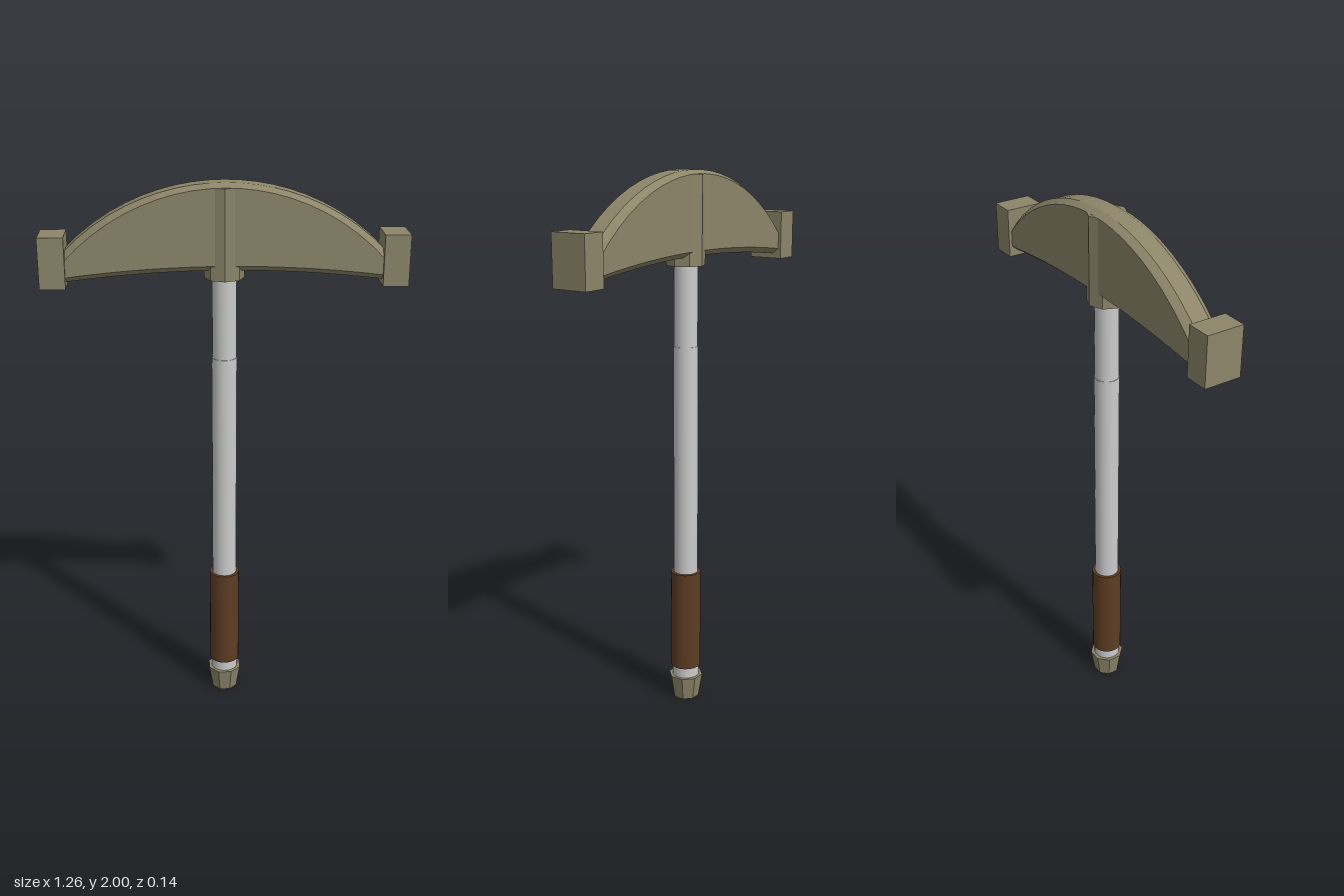
import * as THREE from 'three';

const bronze = new THREE.MeshStandardMaterial({ color: 0x8c8569, flatShading: true });
const steel = new THREE.MeshStandardMaterial({ color: 0xcccccc });
const leather = new THREE.MeshStandardMaterial({ color: 0x5c3c22 });

// Arched head: chamfered eight-sided sections swept along x
function headGeometry(halfLength, steps) {
  const pos = [], idx = [];
  const R = 0.772;
  for (let i = 0; i <= steps; i++) {
    const x = -halfLength + (2 * halfLength * i) / steps;
    const t = (x / halfLength) ** 2;
    const top = 2 - R + Math.sqrt(R * R - x * x);
    const bottom = 1.702 - 0.037 * t;
    const shoulder = top - 0.014 - 0.016 * t;
    const belly = bottom + 0.02;
    const section = [
      [top, -0.031], [top, 0.031], [shoulder, 0.056], [belly, 0.056],
      [bottom, 0.031], [bottom, -0.031], [belly, -0.056], [shoulder, -0.056],
    ];
    for (const [y, z] of section) pos.push(x, y, z);
  }
  for (let i = 0; i < steps; i++) {
    for (let k = 0; k < 8; k++) {
      const a = i * 8 + k, b = i * 8 + ((k + 1) % 8);
      idx.push(a, b, a + 8, b, b + 8, a + 8);
    }
  }
  // End caps
  const last = steps * 8;
  for (let k = 1; k < 7; k++) {
    idx.push(0, k + 1, k);
    idx.push(last, last + k, last + k + 1);
  }
  const geo = new THREE.BufferGeometry();
  geo.setAttribute('position', new THREE.Float32BufferAttribute(pos, 3));
  geo.setIndex(idx);
  geo.computeVertexNormals();
  return geo;
}

export function createModel() {
  const group = new THREE.Group();
  const add = (name, geo, mat, x = 0, y = 0) => {
    const mesh = new THREE.Mesh(geo, mat);
    mesh.name = name;
    mesh.position.set(x, y, 0);
    group.add(mesh);
    return mesh;
  };
  // Upright round part between two heights
  const rod = (name, y0, y1, rBottom, rTop, sides, mat) =>
    add(name, new THREE.CylinderGeometry(rTop, rBottom, y1 - y0, sides), mat, 0, (y0 + y1) / 2);

  // Handle, from the foot upwards
  rod('pommel', 0, 0.09, 0.05, 0.065, 8, bronze).rotation.y = Math.PI / 8;
  rod('gripCollar', 0.08, 0.14, 0.05, 0.05, 24, steel);
  rod('grip', 0.13, 0.515, 0.056, 0.056, 24, leather);
  rod('lowerShaft', 0.5, 1.38, 0.045, 0.045, 24, steel);
  rod('upperShaft', 1.38, 1.72, 0.043, 0.043, 24, steel);

  // Head with its octagonal socket and square end blocks
  add('headArch', headGeometry(0.56, 20), bronze);
  rod('headSocket', 1.67, 1.985, 0.07, 0.07, 8, bronze);
  for (const side of [-1, 1]) {
    add(side > 0 ? 'leftEndBlock' : 'rightEndBlock',
      new THREE.BoxGeometry(0.089, 0.178, 0.135), bronze, side * 0.5875, 1.738);
  }
  return group;
}
